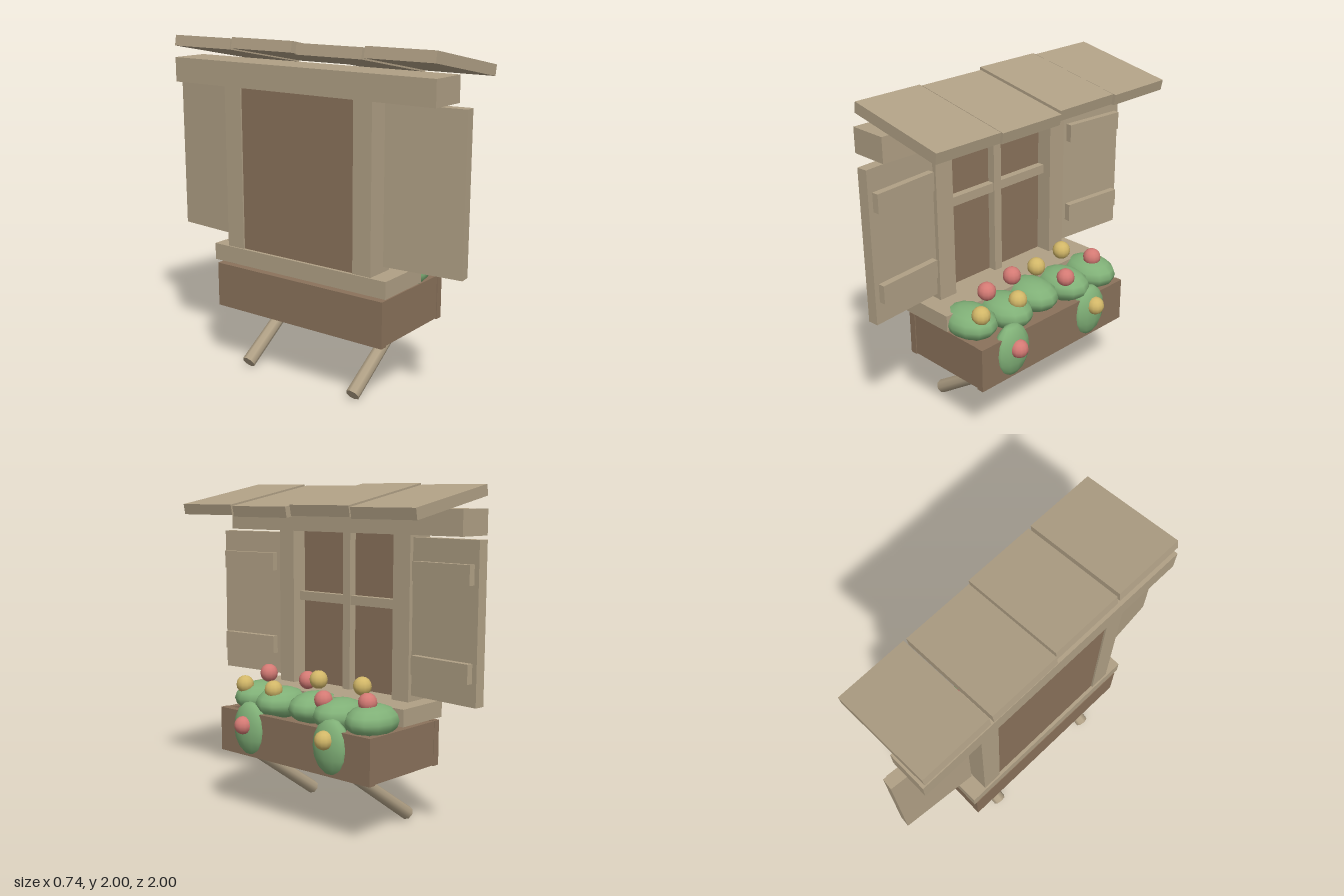
import * as THREE from 'three';

const material = (name, color) => {
  const m = new THREE.MeshStandardMaterial({ color });
  m.name = name;
  return m;
};

export function createModel() {
  const model = new THREE.Group();
  model.name = 'windowWithFlowerBox';
  const wood = material('weatheredWood', 0xb0a085);
  const brown = material('brownWood', 0x8a725b);
  const green = material('leafGreen', 0x80b077);
  const red = material('petalRed', 0xd47a74);
  const yellow = material('petalYellow', 0xd2b768);

  const add = (name, geometry, mat, parent = model) => {
    const mesh = new THREE.Mesh(geometry, mat);
    mesh.name = name;
    parent.add(mesh);
    return mesh;
  };
  // Box given by its [min, max] range on each axis
  const board = (name, mat, [x0, x1], [y0, y1], [z0, z1], parent) => {
    const mesh = add(name, new THREE.BoxGeometry(x1 - x0, y1 - y0, z1 - z0), mat, parent);
    mesh.position.set((x0 + x1) / 2, (y0 + y1) / 2, (z0 + z1) / 2);
    return mesh;
  };
  const blob = (name, mat, [x, y, z], [rx, ry, rz], sides = 12) => {
    const mesh = add(name, new THREE.SphereGeometry(1, sides, 8), mat);
    mesh.position.set(x, y, z);
    mesh.scale.set(rx, ry, rz);
  };

  // Window frame, facing +x
  board('lintel', wood, [-0.355, -0.12], [1.715, 1.86], [-0.9, 0.9]);
  board('sill', wood, [-0.36, 0], [0.66, 0.76], [-0.615, 0.62]);
  board('pane', brown, [-0.34, -0.27], [0.75, 1.72], [-0.4, 0.4]);
  board('verticalMullion', wood, [-0.28, -0.22], [0.75, 1.72], [-0.027, 0.03]);
  board('horizontalMullion', wood, [-0.28, -0.225], [1.28, 1.335], [-0.4, 0.4]);

  for (const s of [1, -1]) {
    const span = (a, b) => (s > 0 ? [a, b] : [-b, -a]);
    board('post', wood, [-0.35, -0.17], [0.75, 1.72], span(0.395, 0.515));

    // Shutter, swung slightly forward at its outer edge
    const shutter = new THREE.Group();
    shutter.name = 'shutter';
    shutter.position.set(-0.25, 0, s * 0.53);
    shutter.rotation.y = s * 0.09;
    board('shutterPanel', wood, [0, 0.065], [0.8, 1.7], span(0, 0.47), shutter);
    for (const y of [0.93, 1.46])
      board('shutterBatten', wood, [0.06, 0.105], [y, y + 0.11], span(0.03, 0.44), shutter);
    model.add(shutter);

    // Diagonal strut under the flower box
    const a = new THREE.Vector3(-0.335, 0.035, s * 0.39);
    const b = new THREE.Vector3(0.21, 0.405, s * 0.39);
    const dir = b.clone().sub(a);
    const strut = add('strut', new THREE.CylinderGeometry(0.036, 0.042, dir.length(), 8), wood);
    strut.position.copy(a).add(b).multiplyScalar(0.5);
    strut.quaternion.setFromUnitVectors(new THREE.Vector3(0, 1, 0), dir.normalize());

    board('boxEnd', brown, [-0.32, 0.225], [0.375, 0.638], span(0.55, 0.595));
  }

  // Flower box boards
  board('boxFront', brown, [0.22, 0.265], [0.37, 0.64], [-0.597, 0.6]);
  board('boxBack', brown, [-0.36, -0.315], [0.37, 0.64], [-0.597, 0.6]);
  board('boxBottom', brown, [-0.32, 0.225], [0.375, 0.42], [-0.56, 0.56]);
  board('boxFill', brown, [-0.32, 0.225], [0.42, 0.61], [-0.56, 0.56]);

  // Four sloping roof planks: centre x, centre y, z range
  for (const [x, y, z0, z1] of [
    [-0.03, 1.905, 0.46, 0.89], [-0.03, 1.897, 0.01, 0.445],
    [-0.05, 1.908, -0.44, -0.005], [-0.045, 1.9, -0.89, -0.455],
  ]) {
    const plank = add('roofPlank', new THREE.BoxGeometry(0.64, 0.063, z1 - z0), wood);
    plank.position.set(x, y, (z0 + z1) / 2);
    plank.rotation.z = -0.19;
  }

  // Bushes in the box and two trailing over its front
  for (const [x, z] of [[0.04, 0.48], [0.09, 0.245], [0.06, 0], [0.1, -0.235], [0.1, -0.475]])
    blob('bush', green, [x, 0.695, z], [0.18, 0.095, 0.14]);
  for (const z of [0.355, -0.3])
    blob('trailingBush', green, [0.245, 0.54, z], [0.07, 0.165, 0.13]);

  // Flowers
  const flowers = (name, mat, points) =>
    points.forEach((p) => blob(name, mat, p, [0.055, 0.055, 0.055]));
  flowers('redFlower', red, [
    [0.07, 0.855, 0.375], [0.005, 0.835, 0.11], [0.175, 0.78, -0.175],
    [0.13, 0.8, -0.465], [0.31, 0.57, 0.355],
  ]);
  flowers('yellowFlower', yellow, [
    [0.155, 0.78, 0.5], [0.175, 0.785, 0.23], [0.065, 0.865, -0.035],
    [0.005, 0.855, -0.32], [0.31, 0.59, -0.3],
  ]);
  return model;
}
